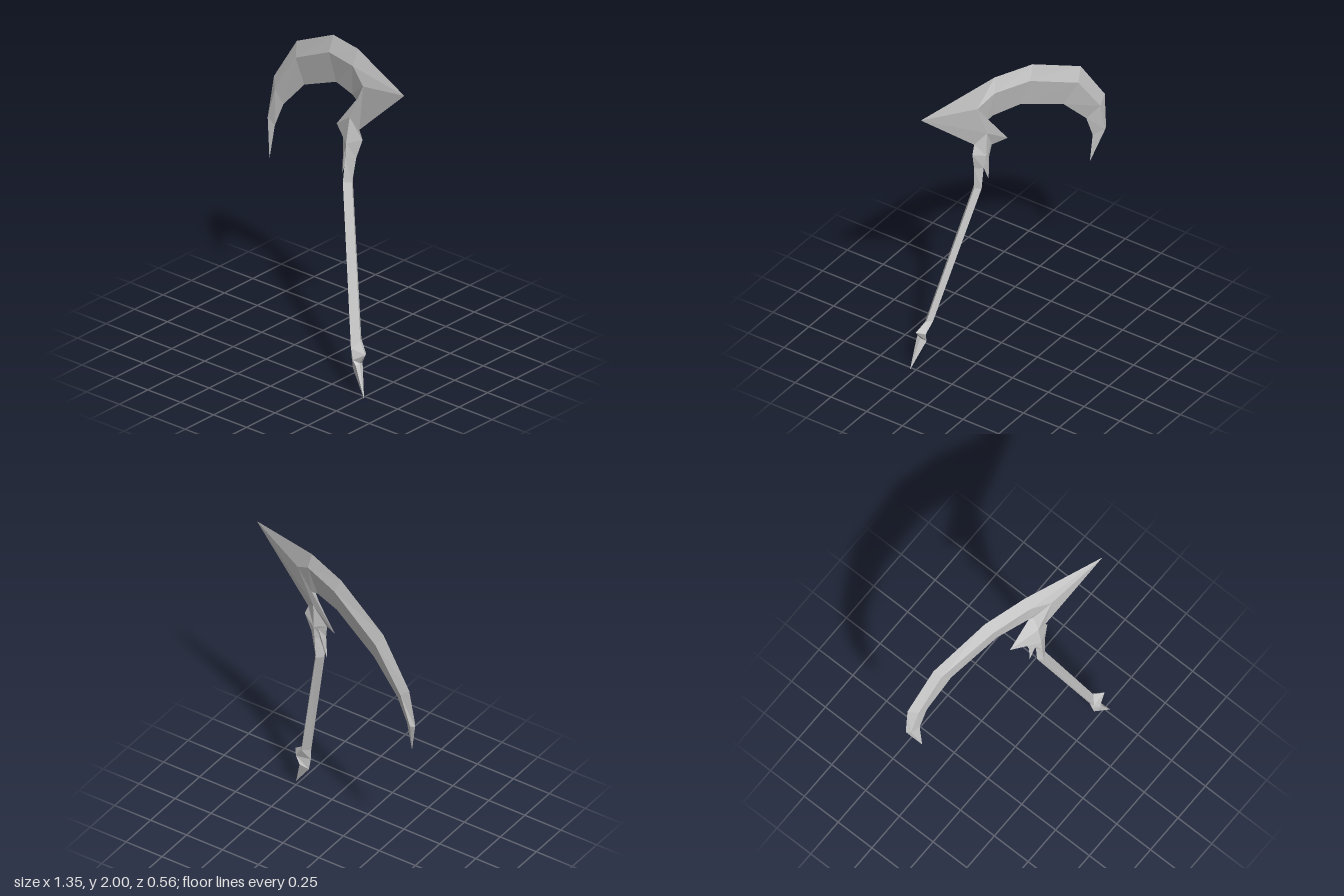
import * as THREE from 'three';

// Each section is a diamond: outer edge, front ridge, inner edge, back ridge.
const point = (x, y, z) => [[x, y, z], [x, y, z], [x, y, z], [x, y, z]];

// Flat-faced skin over successive diamond sections, closed at both ends.
function loft(name, sections) {
  const pos = [];
  const v = (p) => new THREE.Vector3(...p);
  const tri = (a, b, c) => {
    const area = v(b).sub(v(a)).cross(v(c).sub(v(a))).length();
    if (area > 1e-7) pos.push(...a, ...b, ...c);
  };
  for (let i = 0; i < sections.length - 1; i++) {
    const s = sections[i], t = sections[i + 1];
    for (let k = 0; k < 4; k++) {
      const n = (k + 1) % 4;
      tri(s[k], s[n], t[k]);
      tri(s[n], t[n], t[k]);
    }
  }
  const a = sections[0], b = sections[sections.length - 1];
  tri(a[0], a[2], a[1]);
  tri(a[0], a[3], a[2]);
  tri(b[0], b[1], b[2]);
  tri(b[0], b[2], b[3]);
  const geo = new THREE.BufferGeometry();
  geo.setAttribute('position', new THREE.Float32BufferAttribute(pos, 3));
  geo.computeVertexNormals();
  const mesh = new THREE.Mesh(geo, new THREE.MeshStandardMaterial({ color: 0xcccccc, flatShading: true }));
  mesh.name = name;
  return mesh;
}

export function createModel() {
  const group = new THREE.Group();
  group.name = 'scythe';

  // Section shared by the blade and the head: its outer corner is the long point
  const bladeRoot = [[0.67, 1.92, 0.1], [0.295, 1.835, 0.03], [0.2, 1.69, -0.03], [0.295, 1.835, -0.035]];
  // Shared by the head and the shaft
  const shaftTop = [[0.22, 1.2, 0.04], [0.175, 1.2, 0.068], [0.155, 1.2, 0.035], [0.195, 1.2, 0.004]];
  // Shared by the shaft and the pommel
  const shaftEnd = [[0.44, 0.32, 0.22], [0.4, 0.28, 0.257], [0.387, 0.31, 0.235], [0.42, 0.32, 0.188]];

  // Curved blade, from the hooked tail up and over to the root
  group.add(loft('blade', [
    point(-0.61, 1.0, -0.195),
    [[-0.677, 1.235, -0.262], [-0.66, 1.237, -0.237], [-0.595, 1.21, -0.225], [-0.65, 1.237, -0.275]],
    [[-0.645, 1.49, -0.275], [-0.6, 1.44, -0.23], [-0.53, 1.365, -0.225], [-0.59, 1.44, -0.283]],
    [[-0.445, 1.79, -0.245], [-0.42, 1.705, -0.205], [-0.345, 1.56, -0.195], [-0.4, 1.705, -0.26]],
    [[-0.09, 1.975, -0.155], [-0.08, 1.885, -0.105], [-0.03, 1.71, -0.11], [-0.05, 1.885, -0.167]],
    [[0.17, 2.0, -0.07], [0.17, 1.905, -0.025], [0.15, 1.71, -0.045], [0.19, 1.905, -0.085]],
    bladeRoot,
  ]));

  // Head, narrowing from the blade root through a barb to the neck
  group.add(loft('head', [
    bladeRoot,
    [[0.255, 1.54, 0.015], [0.185, 1.6, 0.02], [0.02, 1.48, -0.057], [0.19, 1.6, -0.03]],
    [[0.277, 1.48, 0.012], [0.18, 1.44, 0.046], [0.11, 1.47, -0.01], [0.19, 1.44, -0.025]],
    [[0.24, 1.36, 0.025], [0.18, 1.35, 0.052], [0.162, 1.34, 0.02], [0.195, 1.35, -0.01]],
    shaftTop,
  ]));

  // Small spike hanging beside the neck
  group.add(loft('neckSpike', [
    [[0.195, 1.43, 0.01], [0.165, 1.43, 0.03], [0.108, 1.47, -0.008], [0.165, 1.43, -0.015]],
    [[0.17, 1.34, 0.012], [0.145, 1.36, 0.022], [0.122, 1.38, 0.003], [0.145, 1.36, -0.01]],
    point(0.118, 1.22, 0.008),
  ]));

  // Long slanted shaft
  group.add(loft('shaft', [shaftTop, shaftEnd]));

  // Pommel with a side spur and a sharp point
  group.add(loft('pommel', [
    shaftEnd,
    [[0.505, 0.265, 0.25], [0.43, 0.22, 0.275], [0.395, 0.23, 0.247], [0.47, 0.25, 0.205]],
    [[0.46, 0.2, 0.25], [0.455, 0.19, 0.278], [0.41, 0.15, 0.25], [0.45, 0.19, 0.212]],
    point(0.52, 0.0, 0.28),
  ]));

  return group;
}
